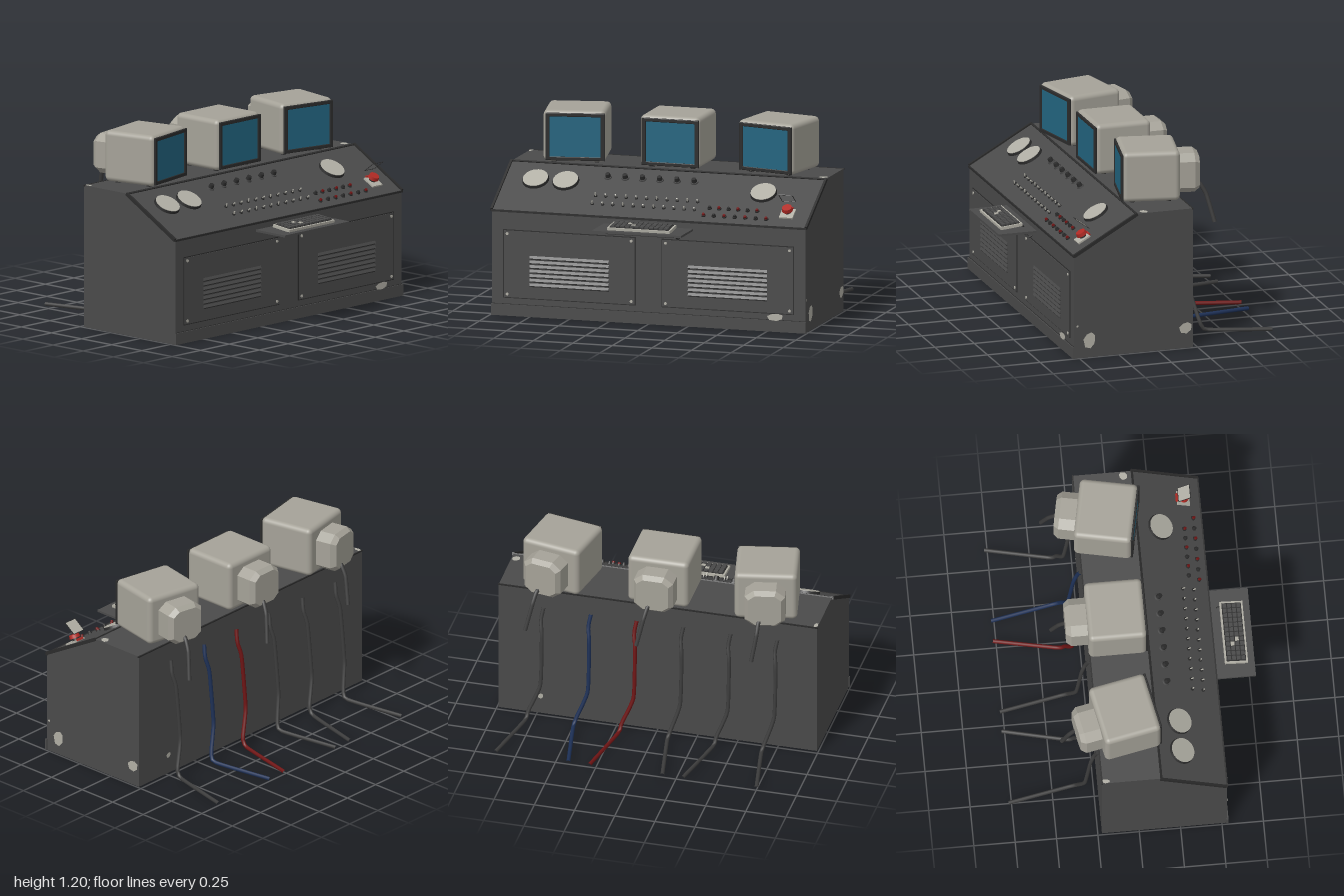
import * as THREE from 'three';
import { RoundedBoxGeometry } from 'three/addons/geometries/RoundedBoxGeometry.js';

export function createModel() {
  const root = new THREE.Group();
  root.name = 'controlConsole';
  const mat = (name, color, extra = {}) => {
    const m = new THREE.MeshStandardMaterial({ color, ...extra });
    m.name = name;
    return m;
  };
  const steel = mat('darkSteel', 0x4a4a4a);
  const trim = mat('blackTrim', 0x2b2b2b);
  const casing = mat('casingGrey', 0xa5a298);
  const glass = mat('screenBlue', 0x22647f);
  const pale = mat('paleMetal', 0xb0aea4);
  const rubber = mat('cableGrey', 0x3c3c3c);
  const red = mat('cableRed', 0x6e1414);
  const blue = mat('cableBlue', 0x1d3056);
  const alarm = mat('alarmRed', 0xb02a24);

  const add = (parent, name, geo, m, x = 0, y = 0, z = 0) => {
    const mesh = new THREE.Mesh(geo, m);
    mesh.name = name;
    mesh.position.set(x, y, z);
    parent.add(mesh);
    return mesh;
  };
  const box = (parent, name, m, w, h, d, x, y, z) => add(parent, name, new THREE.BoxGeometry(w, h, d), m, x, y, z);
  const disc = (parent, name, m, r1, r2, h, x, y, z, n = 16) =>
    add(parent, name, new THREE.CylinderGeometry(r1, r2, h, n), m, x, y, z);
  const cable = (parent, name, m, r, pts) => {
    const curve = new THREE.CatmullRomCurve3(pts.map(p => new THREE.Vector3(...p)), false, 'catmullrom', 0.25);
    add(parent, name, new THREE.TubeGeometry(curve, 36, r, 8), m);
  };
  const group = (parent, name) => {
    const g = new THREE.Group();
    g.name = name;
    parent.add(g);
    return g;
  };

  // Cabinet: side profile (z, y) extruded across the width
  const side = new THREE.Shape([[0.53, 0], [0.53, 0.645], [0.13, 0.872], [-0.225, 0.872], [-0.225, 0]]
    .map(p => new THREE.Vector2(...p)));
  const body = new THREE.ExtrudeGeometry(side, { depth: 1.98, bevelEnabled: false });
  body.rotateY(-Math.PI / 2).translate(0.99, 0, 0);
  add(root, 'cabinet', body, steel);
  box(root, 'kickPlate', steel, 1.99, 0.07, 0.014, 0, 0.035, 0.533);
  box(root, 'frontLip', trim, 1.99, 0.012, 0.014, 0, 0.64, 0.53);
  box(root, 'rearTopEdge', trim, 1.99, 0.008, 0.008, 0, 0.87, -0.223);
  box(root, 'kickSeam', trim, 1.98, 0.004, 0.004, 0, 0.071, 0.531);

  // Front access doors with louvres and corner screws
  for (const s of [-1, 1]) {
    const door = group(root, s < 0 ? 'rightDoor' : 'leftDoor');
    door.position.set(s * 0.5, 0.318, 0.53);
    box(door, 'doorGap', trim, 0.838, 0.42, 0.004, 0, 0, 0.001);
    box(door, 'doorPanel', steel, 0.826, 0.408, 0.01, 0, 0, 0.002);
    for (let i = 0; i < 7; i++) {
      const slat = box(door, 'louvre', steel, 0.5, 0.017, 0.006, 0, -0.12 + i * 0.028, 0.008);
      slat.rotation.x = -0.45;
      box(door, 'louvreGap', trim, 0.5, 0.005, 0.002, 0, -0.132 + i * 0.028, 0.007);
    }
    for (const x of [-0.392, 0.392]) for (const y of [-0.185, 0.185]) {
      disc(door, 'screw', pale, 0.009, 0.009, 0.005, x, y, 0.009, 10).rotation.x = Math.PI / 2;
    }
  }

  // Sloped control panel: local y is the panel normal, local z runs down the slope
  const panel = group(root, 'controlPanel');
  panel.position.set(0, 0.7585, 0.33);
  panel.rotation.x = Math.atan2(0.227, 0.4);
  const along = z => (z - 0.33) / 0.87;
  for (const s of [-1, 1]) box(panel, 'sideRail', trim, 0.014, 0.02, 0.46, s * 0.993, 0, 0);
  box(panel, 'upperRail', trim, 1.99, 0.01, 0.012, 0, 0.001, -0.226);

  for (const x of [-0.795, -0.605, 0.645]) {
    disc(panel, 'gaugeRim', trim, 0.078, 0.082, 0.016, x, 0.008, along(0.275), 32);
    disc(panel, 'gaugeFace', pale, 0.077, 0.077, 0.006, x, 0.016, along(0.275), 32);
  }
  for (let i = 0; i < 6; i++) {
    const x = -0.355 + i * 0.109;
    disc(panel, 'knobSkirt', steel, 0.022, 0.024, 0.008, x, 0.004, along(0.22));
    disc(panel, 'knob', trim, 0.014, 0.018, 0.026, x, 0.017, along(0.22), 12);
  }
  // Two rows of toggle switches
  for (const z of [0.375, 0.44]) for (let i = 0; i < 11; i++) {
    const x = -0.385 + i * 0.0645;
    disc(panel, 'switchNut', trim, 0.01, 0.011, 0.006, x, 0.003, along(z), 8);
    const lever = disc(panel, 'switchLever', pale, 0.005, 0.003, 0.02, x, 0.013, along(z), 6);
    lever.rotation.x = i % 3 ? 0.35 : -0.35;
  }
  // Staggered indicator buttons
  [[0.42, 0.35, 6, 0.06], [0.48, 0.33, 7, 0.066]].forEach(([z, x0, n, step], row) => {
    for (let i = 0; i < n; i++) {
      const x = x0 + i * step;
      disc(panel, 'buttonCollar', trim, 0.013, 0.014, 0.008, x, 0.004, along(z), 12);
      disc(panel, 'button', (i + row) % 2 ? red : trim, 0.008, 0.01, 0.012, x, 0.012, along(z), 12);
    }
  });

  // Emergency stop with raised lid
  const stop = group(panel, 'emergencyStop');
  stop.position.set(0.845, 0, along(0.42));
  box(stop, 'stopPlate', pale, 0.085, 0.01, 0.085, 0, 0.005, 0.01);
  disc(stop, 'stopStem', trim, 0.018, 0.022, 0.02, 0, 0.018, 0, 16);
  disc(stop, 'stopButton', alarm, 0.03, 0.034, 0.022, 0, 0.036, 0, 20);
  box(stop, 'lidHinge', alarm, 0.05, 0.014, 0.01, 0, 0.01, -0.036);
  const lid = group(root, 'stopLid');
  lid.position.set(0.845, 0.803, 0.437);
  lid.rotation.x = -0.63;
  add(lid, 'lidPane', new THREE.PlaneGeometry(0.085, 0.088).rotateX(-Math.PI / 2), pale);
  for (const s of [-1, 1]) {
    box(lid, 'lidSideFrame', trim, 0.003, 0.003, 0.09, s * 0.043, 0, 0);
    box(lid, 'lidEndFrame', trim, 0.088, 0.003, 0.003, 0, 0, s * 0.044);
  }

  // Keyboard shelf and keyboard
  box(root, 'shelf', steel, 0.565, 0.013, 0.245, -0.002, 0.593, 0.648);
  box(root, 'shelfSupport', trim, 0.43, 0.014, 0.18, 0, 0.578, 0.62);
  const keyboard = group(root, 'keyboard');
  keyboard.position.set(-0.003, 0.613, 0.66);
  keyboard.rotation.x = 0.1;
  box(keyboard, 'keyboardBase', pale, 0.395, 0.018, 0.14, 0, 0, 0);
  box(keyboard, 'keyWell', trim, 0.372, 0.004, 0.118, 0, 0.009, 0);
  for (let r = 0; r < 4; r++) for (let c = 0; c < 12; c++) {
    const odd = (r === 1 && c === 3) || (r === 2 && c === 4);
    box(keyboard, 'key', odd ? pale : steel, 0.024, 0.01, 0.022, -0.168 + c * 0.0305, 0.015, -0.043 + r * 0.0285);
  }
  cable(root, 'keyboardCord', trim, 0.005,
    [[0.17, 0.612, 0.6], [0.17, 0.6, 0.575], [0.175, 0.56, 0.57], [0.19, 0.535, 0.55], [0.2, 0.55, 0.53]]);

  // Monitors, outer two turned inward
  const hoodShape = new THREE.Shape([[-0.1, -0.07], [-0.06, -0.1], [0.06, -0.1], [0.1, -0.07],
    [0.1, 0.07], [0.06, 0.1], [-0.06, 0.1], [-0.1, 0.07]].map(p => new THREE.Vector2(...p)));
  const hood = new THREE.ExtrudeGeometry(hoodShape,
    { depth: 0.13, bevelThickness: 0.03, bevelSize: 0.022, bevelSegments: 1 });
  const frame = new THREE.Shape([[-0.177, -0.142], [0.177, -0.142], [0.177, 0.142], [-0.177, 0.142]]
    .map(p => new THREE.Vector2(...p)));
  frame.holes.push(new THREE.Path([[-0.157, -0.126], [-0.157, 0.126], [0.157, 0.126], [0.157, -0.126]]
    .map(p => new THREE.Vector2(...p))));
  const bezel = new THREE.ExtrudeGeometry(frame,
    { depth: 0.008, bevelThickness: 0.003, bevelSize: 0.003, bevelSegments: 1 });
  [[-0.637, 0.2, 0.035], [0, 0, 0.06], [0.637, -0.2, 0.06]].forEach(([x, turn, drift]) => {
    const mon = group(root, 'monitor');
    mon.position.set(x, 1.039, -0.055);
    mon.rotation.y = turn;
    add(mon, 'monitorCase', new RoundedBoxGeometry(0.378, 0.312, 0.35, 4, 0.03), casing);
    add(mon, 'bezel', bezel, trim, 0.005, -0.003, 0.173);
    box(mon, 'screen', glass, 0.316, 0.254, 0.008, 0.005, -0.003, 0.174);
    add(mon, 'tubeHousing', hood, casing, 0, -0.015, -0.275);
    for (const fx of [-0.13, 0.13]) for (const fz of [-0.11, 0.11]) {
      disc(mon, 'foot', trim, 0.016, 0.016, 0.014, fx, -0.161, fz, 10);
    }
    const bx = x - Math.sin(turn) * 0.27;
    cable(root, 'monitorCable', rubber, 0.013, [[bx + 0.015, 0.955, -0.325], [bx + 0.03, 0.935, -0.36],
      [bx + 0.015 + drift * 0.5, 0.87, -0.395], [bx + 0.02 + drift, 0.705, -0.435]]);
  });

  // Rear cables: x where it leaves the cabinet, x at the floor, x at the end
  [[-0.745, -0.685, -0.755, rubber], [-0.455, -0.385, -0.295, rubber], [-0.16, -0.1, -0.17, rubber],
    [0.13, 0.205, 0.285, red], [0.415, 0.485, 0.415, blue], [0.71, 0.785, 0.87, rubber]].forEach(([a, b, c, m]) => {
    cable(root, 'rearCable', m, 0.012, [[a, 0.75, -0.228], [a + 0.012, 0.67, -0.248], [a, 0.58, -0.272],
      [a, 0.25, -0.305], [b - 0.01, 0.08, -0.342], [b, 0.035, -0.385], [c, 0.027, -0.768]]);
  });

  // Bare-metal wear patches
  const patchShape = new THREE.Shape([[-0.5, 0.1], [-0.35, -0.4], [0.1, -0.5], [0.45, -0.2], [0.5, 0.3], [0.2, 0.5], [-0.2, 0.4]]
    .map(p => new THREE.Vector2(...p)));
  const patch = (w, h, x, y, z, rx, ry) => {
    const p = add(root, 'wearPatch', new THREE.ShapeGeometry(patchShape), pale, x, y, z);
    p.scale.set(w, h, 1);
    p.rotation.set(rx, ry, 0);
  };
  patch(0.1, 0.045, 0.8, 0.09, 0.542, 0, 0);
  patch(0.075, 0.1, 0.992, 0.105, 0.435, 0, Math.PI / 2);
  patch(0.08, 0.07, 0.992, 0.125, -0.175, 0, Math.PI / 2);
  patch(0.015, 0.015, 0.992, 0.2, 0.51, 0, Math.PI / 2);
  patch(0.05, 0.05, 0.96, 0.874, 0.08, -Math.PI / 2, 0);
  patch(0.025, 0.05, -0.978, 0.874, -0.2, -Math.PI / 2, 0);
  patch(0.035, 0.035, 0.73, 0.12, -0.227, 0, Math.PI);

  return root;
}
